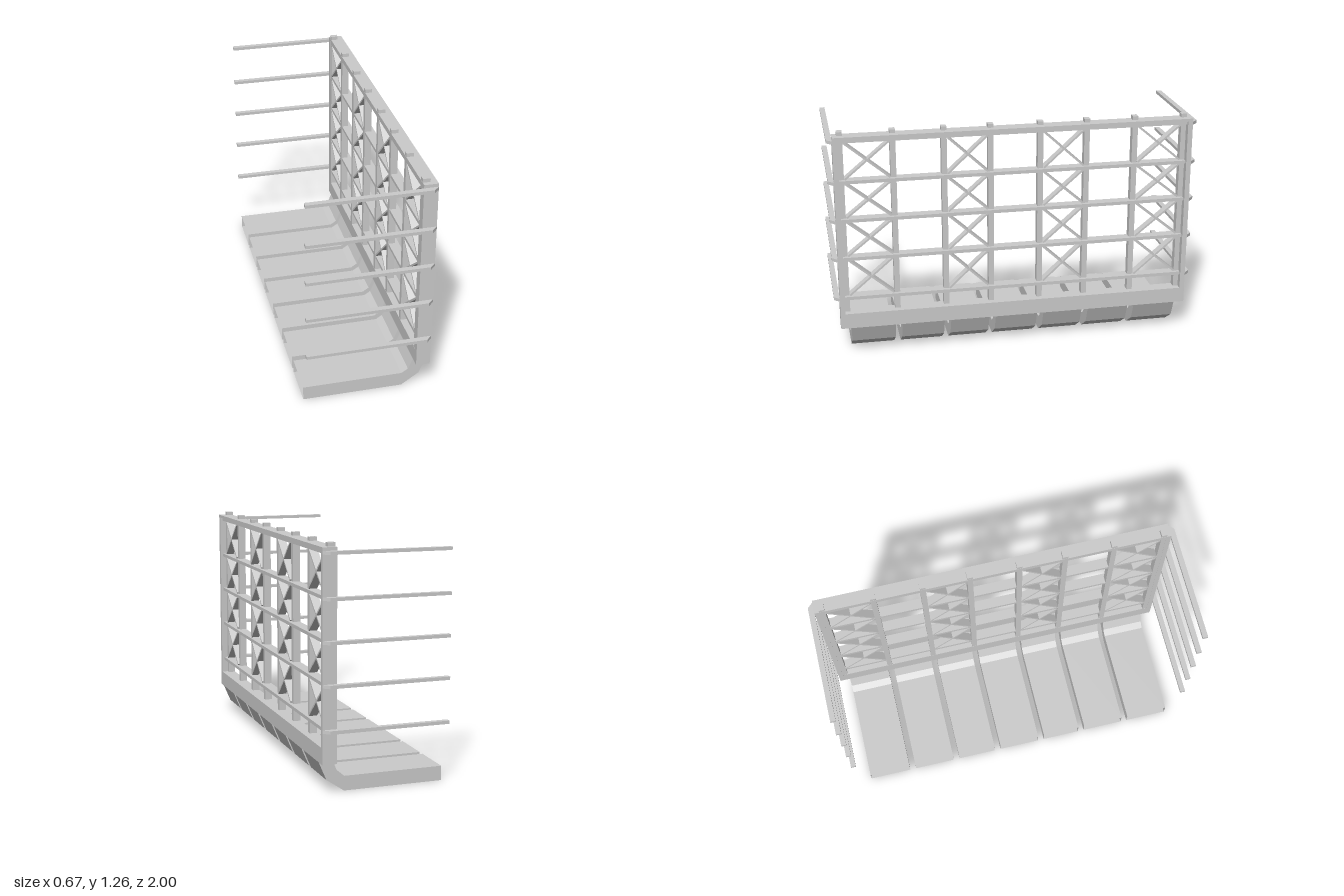
import * as THREE from 'three';

const mat = new THREE.MeshStandardMaterial({ color: 0xcccccc, flatShading: true });
const shellMat = new THREE.MeshStandardMaterial({ color: 0xcccccc, flatShading: true, side: THREE.DoubleSide });

const INNER = 0.26, OUTER = 0.335;   // x range of the upright wall
const RAIL_Y = [0.33, 0.558, 0.775, 0.99, 1.214];
const POST_Z = [-0.93, -0.657, -0.39, -0.135, 0.135, 0.385, 0.655, 0.93];

// Box given by its min and max on each axis
function block(name, x0, x1, y0, y1, z0, z1) {
  const mesh = new THREE.Mesh(new THREE.BoxGeometry(x1 - x0, y1 - y0, z1 - z0), mat);
  mesh.position.set((x0 + x1) / 2, (y0 + y1) / 2, (z0 + z1) / 2);
  mesh.name = name;
  return mesh;
}

// Hollow open-ended floor slab: rectangular section swept along the bent profile
function floorSlab(z0, z1) {
  const bottom = [[-0.335, 0], [0.2, 0], [0.295, 0.065], [OUTER, 0.16]];
  const top = [[-0.335, 0.077], [0.2, 0.077], [0.235, 0.1], [INNER, 0.16]];
  const loops = bottom.map((b, i) => [[...b, z0], [...b, z1], [...top[i], z1], [...top[i], z0]]);
  const pos = [];
  for (let i = 0; i < loops.length - 1; i++) {
    for (let k = 0; k < 4; k++) {
      const n = (k + 1) % 4;
      const [a, b, c, d] = [loops[i][k], loops[i + 1][k], loops[i + 1][n], loops[i][n]];
      pos.push(...a, ...b, ...c, ...a, ...c, ...d);
    }
  }
  const geo = new THREE.BufferGeometry();
  geo.setAttribute('position', new THREE.Float32BufferAttribute(pos, 3));
  geo.computeVertexNormals();
  const mesh = new THREE.Mesh(geo, shellMat);
  mesh.name = 'floorSlab';
  return mesh;
}

// Rectangular outer frame with a heavy sill, shape drawn in (z, y)
function outerFrame() {
  const rect = (s, z, y0, y1) => s.moveTo(-z, y0).lineTo(z, y0).lineTo(z, y1).lineTo(-z, y1).closePath();
  const shape = rect(new THREE.Shape(), 0.97, 0.16, 1.24);
  shape.holes.push(rect(new THREE.Path(), 0.943, 0.245, 1.224));
  const geo = new THREE.ExtrudeGeometry(shape, { depth: OUTER - INNER, bevelEnabled: false });
  geo.rotateY(Math.PI / 2);
  geo.translate(INNER, 0, 0);
  const mesh = new THREE.Mesh(geo, mat);
  mesh.name = 'outerFrame';
  return mesh;
}

// Long side rod with a chamfered outer corner, plan drawn in (x, -z)
function sideRod(y, side) {
  const plan = [[-0.335, 0.972], [OUTER, 0.97], [0.305, 1], [-0.335, 1]];
  const shape = new THREE.Shape(plan.map(([x, z]) => new THREE.Vector2(x, -z * side)));
  const geo = new THREE.ExtrudeGeometry(shape, { depth: 0.017, bevelEnabled: false });
  geo.rotateX(-Math.PI / 2);
  geo.translate(0, y - 0.0085, 0);
  const mesh = new THREE.Mesh(geo, mat);
  mesh.name = side > 0 ? 'frontSideRod' : 'backSideRod';
  return mesh;
}

// Pair of crossed diagonal slats filling one bay
function crossBrace(z0, z1, y0, y1) {
  const brace = new THREE.Group();
  brace.name = 'crossBrace';
  const w = z1 - z0, h = y1 - y0;
  for (const s of [-1, 1]) {
    const slat = new THREE.Mesh(new THREE.BoxGeometry(0.045, 0.01, Math.hypot(w, h)), mat);
    slat.position.set(0.285, (y0 + y1) / 2, (z0 + z1) / 2);
    slat.rotation.x = s * Math.atan2(h, w);
    slat.name = 'diagonalSlat';
    brace.add(slat);
  }
  return brace;
}

export function createModel() {
  const model = new THREE.Group();
  model.name = 'slattedWallWithFloor';

  // Wall frame and its uprights, whose tops stick out above the frame
  model.add(outerFrame());
  for (const z of POST_Z) model.add(block('post', INNER + 0.001, 0.3, 0.2, 1.26, z - 0.015, z + 0.015));

  // Rails across the wall, and rods along both sides
  for (const y of RAIL_Y) {
    model.add(block('rail', INNER + 0.003, 0.32, y - 0.009, y + 0.009, -0.945, 0.945));
    for (const side of [-1, 1]) model.add(sideRod(y, side));
  }

  // Floor slabs under each bay, with braces in every other bay
  for (let i = 0; i < POST_Z.length - 1; i++) {
    const z0 = POST_Z[i] + 0.018, z1 = POST_Z[i + 1] - 0.018;
    model.add(floorSlab(z0, z1));
    if (i % 2) continue;
    for (let r = 0; r < RAIL_Y.length - 1; r++) {
      model.add(crossBrace(z0, z1, RAIL_Y[r] + 0.012, RAIL_Y[r + 1] - 0.012));
    }
  }
  return model;
}
